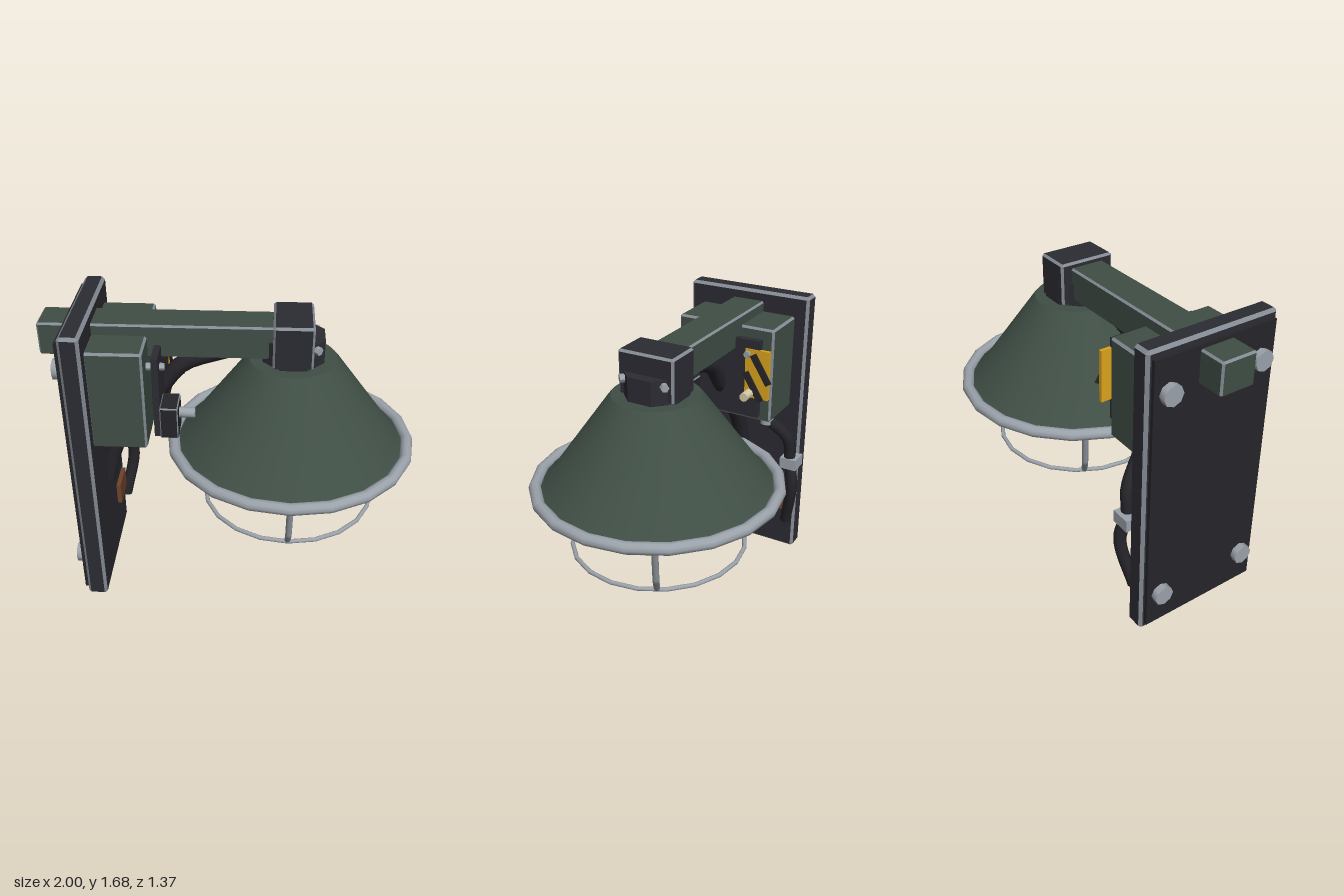
import * as THREE from 'three';
import { toCreasedNormals } from 'three/addons/utils/BufferGeometryUtils.js';

const paint = (name, color) => {
  const m = new THREE.MeshStandardMaterial({ color });
  m.name = name;
  return m;
};

// Box with chamfered edges: group 0 is the faces, group 1 the worn edges
function chamferBox(w, h, d, c) {
  const half = [w / 2, h / 2, d / 2];
  const faces = [], edges = [];
  const corner = (s, axis) => new THREE.Vector3(...half.map((v, i) => s[i] * (i === axis ? v : v - c)));
  const add = (list, pts) => {
    const n = pts[1].clone().sub(pts[0]).cross(pts[2].clone().sub(pts[0]));
    const mid = pts.reduce((a, p) => a.add(p), new THREE.Vector3());
    const q = n.dot(mid) < 0 ? [...pts].reverse() : pts;
    for (let i = 2; i < q.length; i++) list.push(...q[0], ...q[i - 1], ...q[i]);
  };
  const sign = (a, va, b, vb, e, ve) => {
    const s = [0, 0, 0];
    s[a] = va; s[b] = vb; s[e] = ve;
    return s;
  };
  for (let a = 0; a < 3; a++) {
    const b = (a + 1) % 3, e = (a + 2) % 3;
    for (const s of [-1, 1]) {
      add(faces, [[-1, -1], [1, -1], [1, 1], [-1, 1]].map(([p, q]) => corner(sign(a, s, b, p, e, q), a)));
      for (const t of [-1, 1]) {
        const s0 = sign(a, s, b, t, e, -1), s1 = sign(a, s, b, t, e, 1);
        add(edges, [corner(s0, a), corner(s1, a), corner(s1, b), corner(s0, b)]);
      }
    }
  }
  for (const x of [-1, 1]) for (const y of [-1, 1]) for (const z of [-1, 1])
    add(edges, [0, 1, 2].map(a => corner([x, y, z], a)));
  const g = new THREE.BufferGeometry();
  g.setAttribute('position', new THREE.Float32BufferAttribute([...faces, ...edges], 3));
  g.addGroup(0, faces.length / 3, 0);
  g.addGroup(faces.length / 3, edges.length / 3, 1);
  g.computeVertexNormals();
  return g;
}

export function createModel() {
  const root = new THREE.Group();
  root.name = 'wallLamp';
  const green = paint('green enamel', 0x3f4e45);
  const dark = paint('dark iron', 0x2b2b33);
  const edge = paint('worn edge', 0x848a92);
  const steel = paint('steel', 0x9ba2aa);
  const rubber = paint('black rubber', 0x25252a);
  const cream = paint('cream glass', 0xd6c8a8);
  const yellow = paint('warning yellow', 0xdba31c);
  const rust = paint('rust brown', 0x6f432b);

  const mesh = (name, geo, mat, x = 0, y = 0, z = 0) => {
    const m = new THREE.Mesh(geo, mat);
    m.name = name;
    m.position.set(x, y, z);
    root.add(m);
    return m;
  };
  // Boxes are given by their low and high corners
  const span = (a, b) => [b.map((v, i) => v - a[i]), b.map((v, i) => (v + a[i]) / 2)];
  const box = (name, a, b, mat) => {
    const [size, mid] = span(a, b);
    return mesh(name, new THREE.BoxGeometry(...size), mat, ...mid);
  };
  const wornBox = (name, a, b, mat, c = 0.012) => {
    const [size, mid] = span(a, b);
    return mesh(name, chamferBox(...size, c), [mat, edge], ...mid);
  };
  // Round or hexagonal pin lying along x
  const pin = (name, x0, x1, y, z, r, sides, mat) => {
    const g = new THREE.CylinderGeometry(r, r, x1 - x0, sides).rotateZ(-Math.PI / 2);
    return mesh(name, toCreasedNormals(g, 0.8), mat, (x0 + x1) / 2, y, z);
  };
  const tube = (name, pts, r, mat, smooth = true) => {
    const v = pts.map(p => new THREE.Vector3(...p));
    let path = new THREE.CatmullRomCurve3(v);
    if (!smooth) {
      path = new THREE.CurvePath();
      for (let i = 1; i < v.length; i++) path.add(new THREE.LineCurve3(v[i - 1], v[i]));
    }
    const g = new THREE.TubeGeometry(path, 20, r, 10);
    const m = mesh(name, g, mat);
    // Closed ends
    for (const [p, q] of [[v[0], v[1]], [v[v.length - 1], v[v.length - 2]]]) {
      const cap = mesh(name + 'End', new THREE.CircleGeometry(r, 10), mat, p.x, p.y, p.z);
      cap.lookAt(p.clone().multiplyScalar(2).sub(q));
    }
    return m;
  };

  // Wall plate, gasket and its bolts
  wornBox('wallPlate', [-0.83, 0, -0.38], [-0.72, 1.68, 0.38], dark, 0.016);
  box('gasket', [-0.85, 0.04, -0.355], [-0.83, 1.64, 0.355], rubber);
  for (const y of [0.235, 1.455]) for (const z of [-0.27, 0.27])
    pin('plateBolt', -0.888, -0.84, y, z, 0.056, 8, steel);

  // Arm, junction box and head block
  wornBox('arm', [-1, 1.44, -0.1], [0.25, 1.62, 0.1], green, 0.01);
  wornBox('junctionBox', [-0.73, 1, -0.3], [-0.435, 1.56, 0.3], green);
  wornBox('headBlock', [0.21, 1.41, -0.16], [0.42, 1.65, 0.16], dark);
  const collar = new THREE.CylinderGeometry(0.174, 0.174, 0.16, 8).rotateY(Math.PI / 8);
  mesh('collar', toCreasedNormals(collar, 0.3), dark, 0.318, 1.46, 0);
  for (const s of [-1, 1]) {
    const b = pin('collarBolt', -0.02, 0.02, 1.51, s * 0.118, 0.022, 6, steel);
    b.position.x = 0.436;
    b.rotation.y = -s * Math.PI / 4;
  }

  // Lamp head
  const cx = 0.318;
  const profile = [[0, 0.865], [0.6, 0.865], [0.635, 0.895], [0.585, 0.93], [0.25, 1.39], [0.232, 1.41], [0, 1.41]];
  const shade = new THREE.LatheGeometry(profile.map(p => new THREE.Vector2(...p)), 40);
  mesh('shade', toCreasedNormals(shade, 0.6), green, cx, 0, 0);
  const ring = (name, r, t, y) =>
    mesh(name, new THREE.TorusGeometry(r, t, 10, 20).rotateX(Math.PI / 2), steel, cx, y, 0);
  ring('rimRing', 0.65, 0.033, 0.902);
  const lens = new THREE.CylinderGeometry(0.605, 0.605, 0.034, 40);
  mesh('lens', toCreasedNormals(lens, 0.6), cream, cx, 0.852, 0);

  // Guard cage
  ring('cageRing', 0.476, 0.012, 0.54);
  for (let i = 0; i < 3; i++) {
    const a = i * Math.PI * 2 / 3;
    const pts = [[0.635, 0.88], [0.565, 0.66], [0.465, 0.54]]
      .map(([r, y]) => [cx + r * Math.sin(a), y, r * Math.cos(a)]);
    tube('cageBar', pts, 0.017, steel, false);
  }

  // Switch panel on the junction box
  box('switchPanel', [-0.4, 1.05, -0.25], [-0.365, 1.51, 0.25], dark);
  for (const s of [-1, 1]) pin('panelBolt', -0.45, -0.34, 1.43, s * 0.18, 0.02, 6, steel);
  wornBox('switchBody', [-0.365, 1.06, 0.12], [-0.27, 1.24, 0.285], rubber, 0.006);
  pin('switchKnob', -0.27, -0.187, 1.175, 0.205, 0.028, 12, steel);
  pin('pilotLight', -0.37, -0.28, 1.2, -0.2, 0.026, 12, cream);
  box('warningPlate', [-0.38, 1.17, -0.312], [-0.36, 1.46, -0.165], yellow);
  for (const [y, z] of [[1.35, -0.265], [1.24, -0.22]]) {
    const stripe = mesh('warningStripe', new THREE.BoxGeometry(0.009, 0.19, 0.04), rubber, -0.355, y, z);
    stripe.rotation.x = 0.56;
  }

  // Feed cable from the arm to the plate
  tube('feedCable', [[0.08, 1.47, 0], [-0.1, 1.42, 0], [-0.27, 1.35, 0], [-0.4, 1.19, 0],
    [-0.58, 0.97, 0], [-0.67, 0.8, 0], [-0.73, 0.58, 0]], 0.046, rubber);

  // Side cable with its gland, clamp and rusty patch
  const gland = new THREE.CylinderGeometry(0.042, 0.042, 0.08, 8);
  mesh('cableGland', toCreasedNormals(gland, 0.8), steel, -0.58, 0.965, -0.22);
  tube('sideCable', [[-0.58, 0.95, -0.22], [-0.64, 0.82, -0.335], [-0.66, 0.67, -0.35],
    [-0.64, 0.5, -0.38], [-0.7, 0.21, -0.33]], 0.035, rubber);
  box('cableClamp', [-0.73, 0.62, -0.405], [-0.62, 0.69, -0.3], steel);
  box('rustyPatch', [-0.725, 0.28, -0.325], [-0.695, 0.41, -0.135], rust);
  return root;
}
